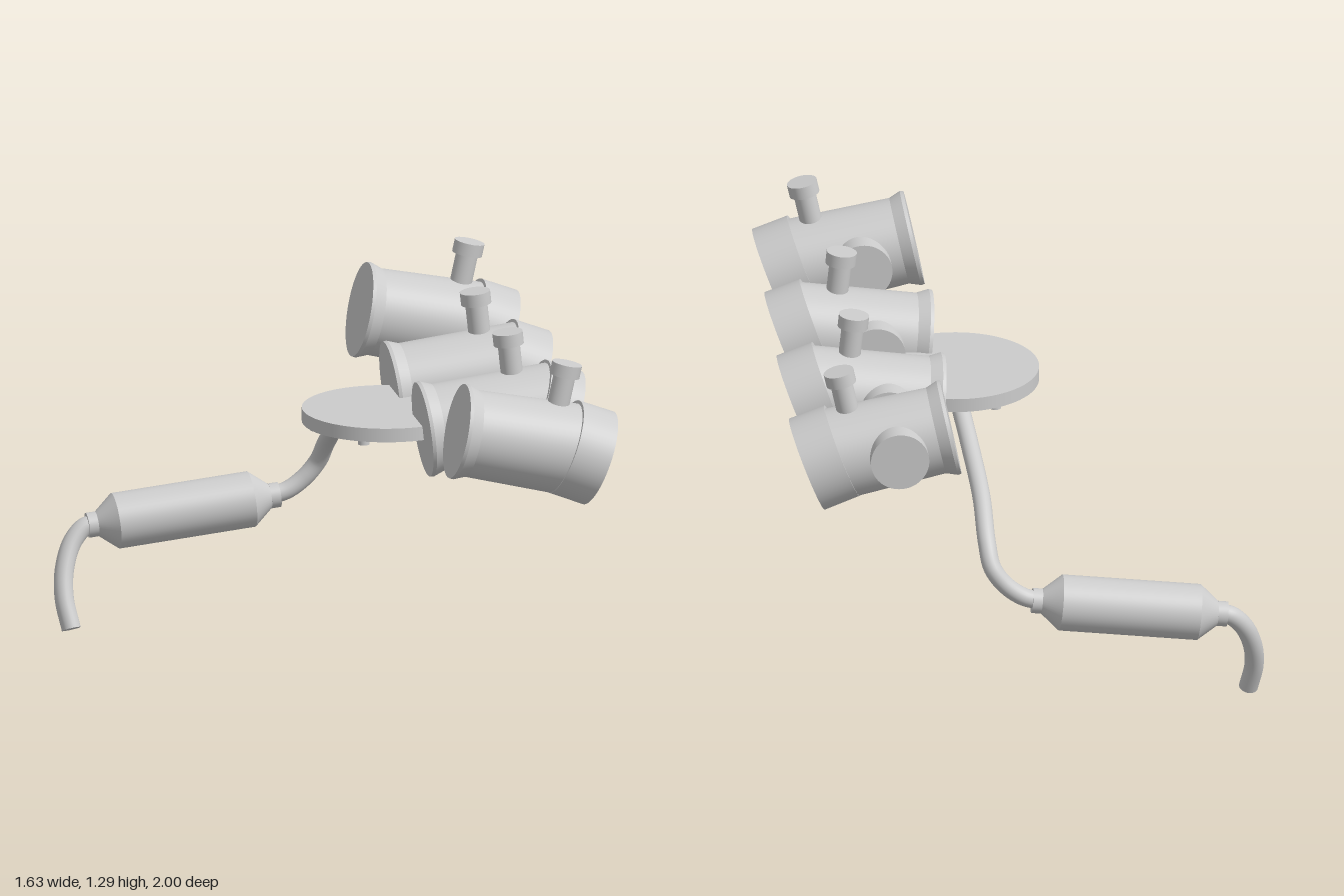
import * as THREE from 'three';

const steel = new THREE.MeshStandardMaterial({ color: 0xcccccc });
steel.name = 'plain grey steel';

function add(parent, name, geometry) {
  const mesh = new THREE.Mesh(geometry, steel);
  mesh.name = name;
  parent.add(mesh);
  return mesh;
}

// Capped cylinder or cone along +x, from x0 (radius r0) to x1 (radius r1)
function barrel(parent, name, x0, x1, r0, r1) {
  const g = new THREE.CylinderGeometry(r1, r0, x1 - x0, 48);
  g.rotateZ(-Math.PI / 2);
  g.translate((x0 + x1) / 2, 0, 0);
  return add(parent, name, g);
}

// Upright capped cylinder between two heights
function post(parent, name, x, y0, y1, z, r) {
  const g = new THREE.CylinderGeometry(r, r, y1 - y0, 32);
  g.translate(x, (y0 + y1) / 2, z);
  return add(parent, name, g);
}

// Bent pipe with closed ends
function pipe(parent, name, points, r) {
  const group = new THREE.Group();
  group.name = name;
  const curve = new THREE.CatmullRomCurve3(points.map(p => new THREE.Vector3(...p)));
  add(group, name + 'Tube', new THREE.TubeGeometry(curve, 64, r, 24));
  for (const t of [0, 1]) {
    const end = add(group, name + 'End', new THREE.CircleGeometry(r, 24));
    const dir = curve.getTangentAt(t).multiplyScalar(t ? 1 : -1);
    end.position.copy(curve.getPointAt(t));
    end.quaternion.setFromUnitVectors(new THREE.Vector3(0, 0, 1), dir);
  }
  parent.add(group);
}

// Tilted canister with stack and side port, plus its angled end cap
function canister(parent, z, outer) {
  const body = new THREE.Group();
  body.name = outer ? 'outerCanister' : 'innerCanister';
  body.position.set(outer ? 0.2575 : 0.251, outer ? 1.0675 : 0.93, z);
  body.rotation.z = THREE.MathUtils.degToRad(outer ? -12.3 : 6.1);
  barrel(body, 'flange', 0, 0.012, 0.163, 0.165);
  barrel(body, 'flangeTaper', 0.012, 0.052, 0.165, 0.15);
  barrel(body, 'canisterBody', 0.05, 0.465, 0.15, 0.16);
  post(body, 'stackStem', 0.329, 0.1, 0.26, 0, 0.038);
  post(body, 'stackCap', 0.329, 0.252, 0.296, 0, 0.052);
  const port = new THREE.CylinderGeometry(0.1, 0.1, 0.195, 48);
  port.rotateX(Math.PI / 2);
  port.translate(0.193, 0, -0.0975);
  add(body, 'sidePort', port);
  parent.add(body);

  const cap = barrel(parent, 'endCap', -0.128, 0, 0.166, 0.167);
  cap.position.set(0.75, 0.946, z);
  cap.rotation.z = THREE.MathUtils.degToRad(-21.3);
}

export function createModel() {
  const model = new THREE.Group();
  model.name = 'canisterAndExhaustAssembly';

  // Row of four canisters; the middle pair tilts the other way
  [0.826, 0.281, -0.264, -0.809].forEach((z, i) => canister(model, z, i === 0 || i === 3));

  // Round plate with a ring of bolts below
  add(model, 'plate', new THREE.CylinderGeometry(0.288, 0.288, 0.048, 64))
    .position.set(0.181, 0.917, 0.006);
  for (let i = 0; i < 6; i++) {
    const a = i * Math.PI / 3;
    post(model, 'plateBolt', 0.181 + 0.244 * Math.cos(a), 0.872, 0.9, 0.006 + 0.244 * Math.sin(a), 0.02);
  }

  // Pipe from the plate down to the muffler
  pipe(model, 'downPipe', [
    [0.178, 0.88, -0.23], [0.16, 0.815, -0.38], [0.137, 0.715, -0.607], [0.13, 0.61, -0.765],
    [0.115, 0.54, -0.815], [0.07, 0.48, -0.828], [0.01, 0.437, -0.83], [-0.05, 0.42, -0.83],
  ], 0.031);

  // Muffler with cones and collars
  const muffler = new THREE.Group();
  muffler.name = 'muffler';
  muffler.position.set(-0.353, 0.386, -0.83);
  muffler.rotation.z = THREE.MathUtils.degToRad(6.2);
  barrel(muffler, 'mufflerBody', -0.238, 0.238, 0.096, 0.096);
  for (const s of [-1, 1]) {
    const lo = s < 0;
    barrel(muffler, 'mufflerCone', lo ? -0.308 : 0.238, lo ? -0.238 : 0.308, lo ? 0.038 : 0.096, lo ? 0.096 : 0.038);
    barrel(muffler, 'mufflerCollar', lo ? -0.336 : 0.303, lo ? -0.303 : 0.336, 0.043, 0.043);
  }
  model.add(muffler);

  // Curved tail pipe
  pipe(model, 'tailPipe', [
    [-0.66, 0.354, -0.83], [-0.7, 0.343, -0.828], [-0.745, 0.295, -0.812],
    [-0.778, 0.21, -0.778], [-0.786, 0.12, -0.74], [-0.77, 0.022, -0.7],
  ], 0.033);

  return model;
}
